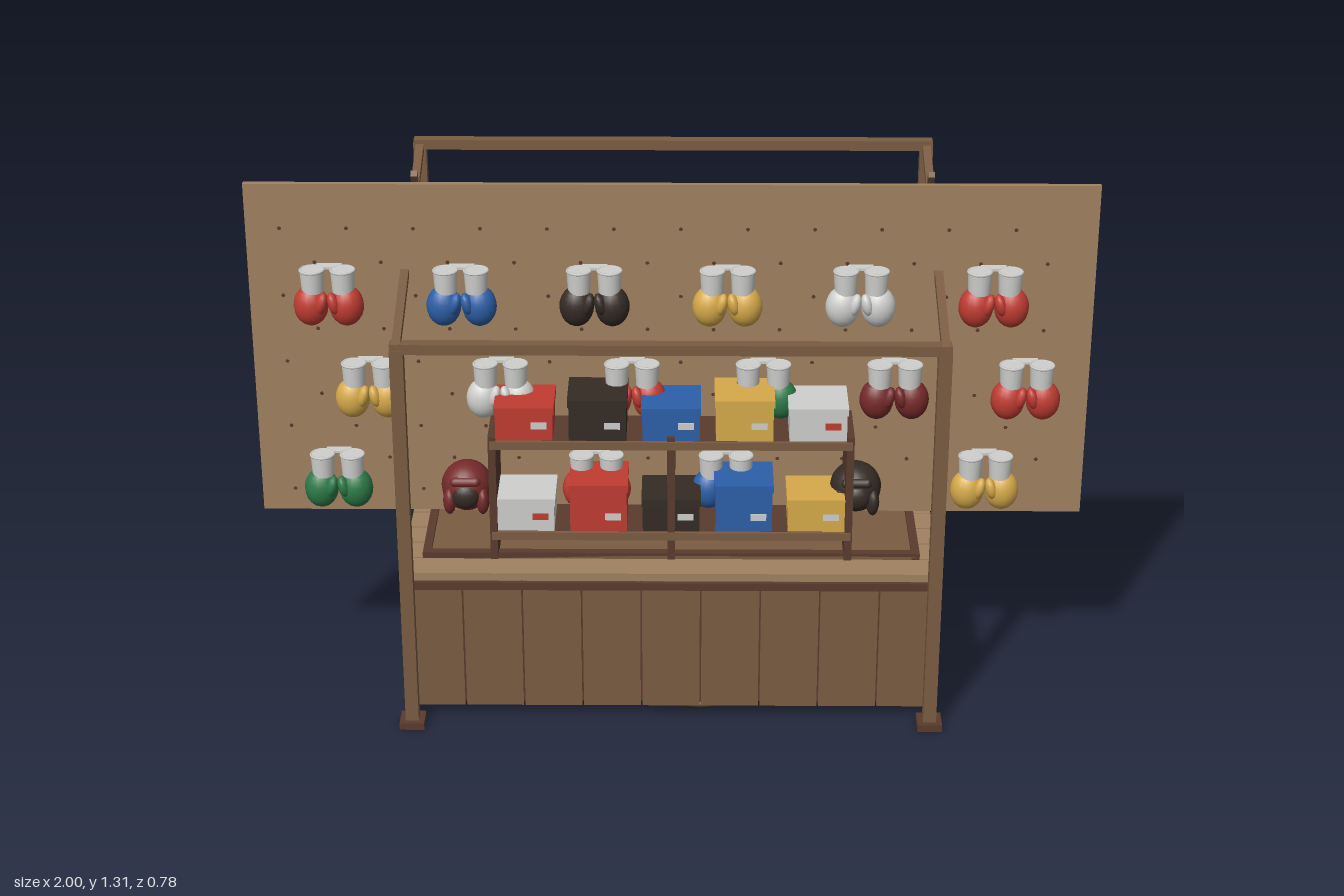
import * as THREE from 'three';
import { mergeGeometries } from 'three/addons/utils/BufferGeometryUtils.js';

const mat = (name, color) => {
  const m = new THREE.MeshStandardMaterial({ color });
  m.name = name;
  return m;
};

export function createModel() {
  const M = {
    tan: mat('tanWood', 0xa08260), wood: mat('brownWood', 0x7a5c42), dark: mat('darkWood', 0x5a3b2d),
    red: mat('red', 0xc03c32), blue: mat('blue', 0x2c60a8), yellow: mat('yellow', 0xd6aa4a),
    white: mat('paleGrey', 0xcfcfcd), black: mat('charcoal', 0x352b24), green: mat('green', 0x2c7a48),
    maroon: mat('maroon', 0x762a2a),
  };
  const model = new THREE.Group();
  model.name = 'marketStall';
  const group = (name, parent = model) => {
    const g = new THREE.Group();
    g.name = name;
    parent.add(g);
    return g;
  };
  const add = (parent, name, geo, m, x = 0, y = 0, z = 0) => {
    const mesh = new THREE.Mesh(geo, m);
    mesh.name = name;
    mesh.position.set(x, y, z);
    parent.add(mesh);
    return mesh;
  };
  // Box given by its minimum and maximum corners
  const slab = (parent, name, m, x0, x1, y0, y1, z0, z1) =>
    add(parent, name, new THREE.BoxGeometry(x1 - x0, y1 - y0, z1 - z0), m,
      (x0 + x1) / 2, (y0 + y1) / 2, (z0 + z1) / 2);
  // Sloping square beam in the y-z plane
  const beam = (parent, name, m, x, y0, z0, y1, z1, t) => {
    const b = add(parent, name, new THREE.BoxGeometry(t, t, Math.hypot(y1 - y0, z1 - z0)), m,
      x, (y0 + y1) / 2, (z0 + z1) / 2);
    b.rotation.x = -Math.atan2(y1 - y0, z1 - z0);
    return b;
  };

  // Canopy frame
  const frame = group('canopyFrame');
  for (const s of [-1, 1]) {
    const x = s * 0.63;
    for (const [z, h] of [[0.36, 1.0], [-0.36, 1.25]]) {
      slab(frame, 'post', M.wood, x - 0.016, x + 0.016, 0.01, h, z - 0.016, z + 0.016);
      slab(frame, 'postFoot', M.dark, x - 0.03, x + 0.03, 0, 0.018, z - 0.03, z + 0.03);
    }
    beam(frame, 'slopingRafter', M.wood, x, 1.005, 0.37, 1.245, -0.37, 0.02);
    beam(frame, 'brace', M.wood, x, 1.23, -0.178, 1.045, -0.325, 0.016);
  }
  slab(frame, 'frontRail', M.wood, -0.645, 0.645, 0.99, 1.015, 0.345, 0.375);
  slab(frame, 'backRail', M.wood, -0.645, 0.645, 1.232, 1.257, -0.375, -0.345);
  slab(frame, 'middlePurlin', M.wood, -0.63, 0.63, 1.108, 1.126, -0.009, 0.009);

  // Counter: side panels, front planks and slatted top
  const counter = group('counter');
  for (const s of [-1, 1]) {
    slab(counter, 'sidePanel', M.wood, s * 0.635 - 0.01, s * 0.635 + 0.01, 0.03, 0.37, -0.11, 0.302);
  }
  const planks = 9, pw = 1.29 / planks;
  for (let i = 0; i < planks; i++) {
    const x = -0.645 + i * pw;
    slab(counter, 'frontPlank', M.wood, x + 0.002, x + pw - 0.002, 0.03, 0.37, 0.306, 0.32);
  }
  slab(counter, 'frontBacking', M.dark, -0.625, 0.625, 0.035, 0.37, 0.302, 0.307);
  slab(counter, 'frontBatten', M.dark, -0.62, 0.62, 0.355, 0.375, 0.32, 0.33);
  slab(counter, 'topSupport', M.dark, -0.625, 0.625, 0.37, 0.386, -0.04, 0.31);
  for (let i = 0; i < 6; i++) {
    const z = -0.143 + i * 0.081;
    slab(counter, 'topSlat', M.tan, -0.645, 0.645, 0.385, 0.405, z, z + 0.076);
  }
  slab(counter, 'trayBed', M.wood, -0.59, 0.59, 0.4, 0.412, -0.035, 0.26);
  for (const z of [-0.03, 0.25]) {
    slab(counter, 'trayLongEdge', M.dark, -0.59, 0.59, 0.4, 0.42, z - 0.01, z + 0.01);
  }
  for (const s of [-1, 1]) {
    slab(counter, 'trayEnd', M.dark, s * 0.59 - 0.01, s * 0.59 + 0.01, 0.4, 0.419, -0.04, 0.26);
  }

  // Cart under the counter, with a spoked wheel on each long side
  const cart = group('cart');
  slab(cart, 'cartBody', M.dark, -0.56, 0.56, 0.03, 0.37, -0.04, 0.26);
  slab(cart, 'cartFloor', M.black, -0.56, 0.56, 0.008, 0.03, -0.04, 0.26);
  slab(cart, 'lowerRail', M.wood, -0.625, 0.625, 0.085, 0.11, -0.085, -0.065);
  slab(cart, 'upperRail', M.wood, -0.56, 0.56, 0.27, 0.29, -0.055, -0.04);
  for (const x of [-0.4, 0.4]) slab(cart, 'cartStud', M.wood, x - 0.012, x + 0.012, 0.04, 0.37, -0.052, -0.04);
  for (const z of [-0.098, 0.285]) {
    const wheel = group('wheel', cart);
    wheel.position.set(0.07, 0.143, z);
    add(wheel, 'rim', new THREE.TorusGeometry(0.13, 0.012, 8, 32), M.black);
    for (let i = 0; i < 4; i++) {
      add(wheel, 'spoke', new THREE.BoxGeometry(0.25, 0.012, 0.012), M.dark).rotation.z = i * Math.PI / 4;
    }
    add(wheel, 'hub', new THREE.CylinderGeometry(0.025, 0.025, 0.036, 12), M.black).rotation.x = Math.PI / 2;
  }
  add(cart, 'axle', new THREE.CylinderGeometry(0.01, 0.01, 0.4, 8), M.dark, 0.07, 0.143, 0.1).rotation.x = Math.PI / 2;

  // Pegboard with rows of holes
  const display = group('display');
  slab(display, 'pegboard', M.tan, -1, 1, 0.463, 1.31, 0.1, 0.115);
  const holes = [];
  for (let r = 0; r < 9; r++) {
    for (let c = 0; c < 12; c++) {
      const x = -0.92 + c * 0.157 + (r % 2) * 0.078;
      holes.push(new THREE.CircleGeometry(0.005, 6).translate(x, 0.52 + r * 0.085, 0.1158));
    }
  }
  add(display, 'pegHoles', mergeGeometries(holes), M.dark);

  // Pairs of hanging boxing gloves
  const fist = new THREE.SphereGeometry(1, 18, 12).scale(0.041, 0.05, 0.036);
  const thumb = new THREE.SphereGeometry(1, 12, 8).scale(0.014, 0.028, 0.018);
  const cuff = new THREE.CylinderGeometry(0.029, 0.026, 0.055, 16);
  const cuffRim = new THREE.TorusGeometry(0.028, 0.003, 6, 16).rotateX(Math.PI / 2);
  const glovePair = (x, y, m) => {
    const pair = group('glovePair', display);
    pair.position.set(x, y, 0.16);
    slab(pair, 'hook', M.white, -0.03, 0.03, 0.082, 0.088, -0.047, -0.02);
    for (const s of [-1, 1]) {
      add(pair, 'gloveBody', fist, m, s * 0.042, 0, 0);
      add(pair, 'gloveThumb', thumb, m, s * 0.014, 0.012, 0.02).rotation.z = s * 0.25;
      add(pair, 'gloveCuff', cuff, M.white, s * 0.036, 0.063, 0);
      add(pair, 'cuffRim', cuffRim, M.white, s * 0.036, 0.089, 0);
    }
  };
  // Padded head guard with an open face
  const headGuard = (x, y, m) => {
    const g = group('headGuard', display);
    g.position.set(x, y, 0.177);
    add(g, 'shell', new THREE.SphereGeometry(0.062, 20, 14), m);
    add(g, 'faceOpening', new THREE.SphereGeometry(1, 14, 10).scale(0.034, 0.032, 0.02), M.black, 0, -0.008, 0.048);
    add(g, 'browPad', new THREE.CapsuleGeometry(0.012, 0.05, 4, 8).rotateZ(Math.PI / 2), m, 0, 0.03, 0.05);
    for (const s of [-1, 1]) {
      add(g, 'cheekPad', new THREE.SphereGeometry(1, 12, 8).scale(0.016, 0.034, 0.022), m, s * 0.04, -0.024, 0.04);
    }
  };
  const rows = [
    [-0.807, 1.024, ['red', 'blue', 'black', 'yellow', 'white', 'red']],
    [-0.72, 0.785, ['yellow', 'white', 'red', 'green', 'maroon', 'red']],
    [-0.807, 0.545, ['green', '*maroon', 'red', 'blue', '*black', 'yellow']],
  ];
  for (const [x0, y, names] of rows) {
    names.forEach((n, i) => {
      const x = x0 + i * 0.313;
      if (n[0] === '*') headGuard(x, y + 0.017, M[n.slice(1)]);
      else glovePair(x, y, M[n]);
    });
  }

  // Shelf unit with two rows of boxes
  const shelf = group('shelfUnit');
  for (const x of [-0.425, 0, 0.425]) {
    slab(shelf, 'upright', M.dark, x - 0.009, x + 0.009, 0.41, 0.735, 0.115, 0.275);
  }
  for (const y of [0.472, 0.712]) {
    slab(shelf, 'shelfBoard', M.dark, -0.43, 0.43, y - 0.007, y + 0.007, 0.117, 0.272);
    slab(shelf, 'shelfLip', M.wood, -0.43, 0.43, y - 0.008, y + 0.012, 0.27, 0.279);
  }
  const carton = (x, y, h, m) => {
    const c = group('carton', shelf);
    c.position.set(x, y, 0.2);
    slab(c, 'cartonBody', m, -0.068, 0.068, 0, h - 0.018, -0.065, 0.065);
    slab(c, 'cartonLid', m, -0.071, 0.071, h - 0.018, h, -0.068, 0.068);
    slab(c, 'cartonLabel', m === M.white ? M.red : M.white, 0.016, 0.054, 0.03, 0.047, 0.064, 0.067);
  };
  const stock = [
    [0.722, ['red', 'black', 'blue', 'yellow', 'white'], [0.085, 0.105]],
    [0.482, ['white', 'red', 'black', 'blue', 'yellow'], [0.085, 0.122]],
  ];
  for (const [y, names, heights] of stock) {
    names.forEach((n, i) => carton(-0.348 + i * 0.174, y, heights[i % 2], M[n]));
  }

  // Bucket of wraps and a board with small goods on the tray
  const bucket = group('bucket');
  bucket.position.set(0.14, 0.412, 0.047);
  const profile = [[0, 0], [0.05, 0], [0.063, 0.03], [0.058, 0.085], [0.066, 0.1], [0.058, 0.104], [0.054, 0.09], [0, 0.09]]
    .map(([r, y]) => new THREE.Vector2(r, y));
  add(bucket, 'bucketBody', new THREE.LatheGeometry(profile, 20), M.tan);
  add(bucket, 'bucketContents', new THREE.CylinderGeometry(0.053, 0.053, 0.008, 20), M.wood, 0, 0.092, 0);
  for (let i = 0; i < 7; i++) {
    const r = i ? 0.034 : 0, a = i * Math.PI / 3;
    add(bucket, 'roll', new THREE.SphereGeometry(0.011, 10, 8), M.tan, r * Math.cos(a), 0.102, r * Math.sin(a));
  }
  const board = group('goodsBoard');
  board.position.set(-0.015, 0.412, 0.055);
  board.rotation.y = -0.15;
  slab(board, 'boardPlate', M.tan, -0.075, 0.075, 0, 0.01, -0.04, 0.04);
  slab(board, 'whiteCard', M.white, 0, 0.03, 0.01, 0.018, -0.025, 0.005);
  slab(board, 'blueCard', M.blue, -0.03, -0.008, 0.01, 0.02, -0.03, -0.005);

  return model;
}
